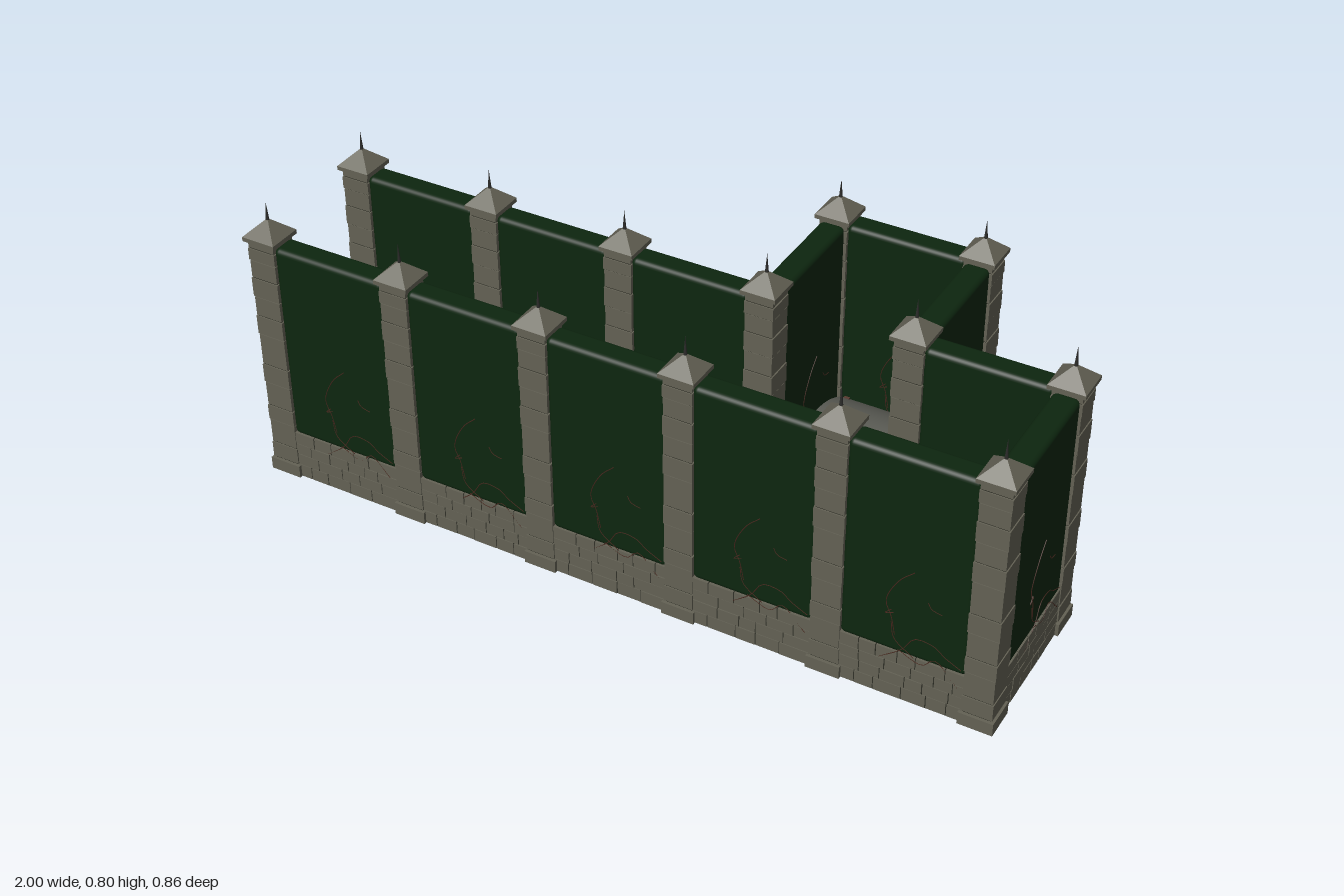
import * as THREE from 'three';
import { mergeGeometries } from 'three/addons/utils/BufferGeometryUtils.js';
import { RoundedBoxGeometry } from 'three/addons/geometries/RoundedBoxGeometry.js';

const paint = (name, color) => Object.assign(new THREE.MeshStandardMaterial({ color }), { name });
const stone = paint('stone', 0x636154);
const mortar = paint('mortar', 0x25261e);
const hedge = paint('hedge green', 0x0d260f);
const twig = paint('twig brown', 0x4a2a20);
const wood = paint('wood', 0x583a30);
const iron = paint('iron', 0x2c2c2a);
const slate = paint('grey canopy', 0x5d5e57);

const S = 0.3815; // distance between pillars

// Small seeded generator for irregular masonry
function seeded(seed) {
  let s = seed;
  return () => (s = (s * 16807) % 2147483647) / 2147483647;
}

// Box given by its minimum and maximum corners
function block(x0, y0, z0, x1, y1, z1) {
  return new THREE.BoxGeometry(x1 - x0, y1 - y0, z1 - z0)
    .translate((x0 + x1) / 2, (y0 + y1) / 2, (z0 + z1) / 2);
}

function part(name, geometries, material) {
  const list = [].concat(geometries);
  const mesh = new THREE.Mesh(list.length > 1 ? mergeGeometries(list) : list[0], material);
  mesh.name = name;
  return mesh;
}

function group(name, ...parts) {
  const g = new THREE.Group();
  g.name = name;
  g.add(...parts);
  return g;
}

// Pillar: plinth, stacked blocks, pyramid cap and spike
function makePillar() {
  const joints = [0.053, 0.1, 0.17, 0.215, 0.285, 0.34, 0.43, 0.485, 0.54, 0.595, 0.645, 0.68, 0.7];
  const blocks = [block(-0.0435, 0.016, -0.0435, 0.0435, 0.05, 0.0435)];
  for (let i = 0; i < joints.length - 1; i++) {
    const h = i % 2 ? 0.037 : 0.0385;
    blocks.push(block(-h, joints[i] + 0.0015, -h, h, joints[i + 1] - 0.0015, h));
  }
  blocks.push(block(-0.046, 0.7, -0.046, 0.046, 0.711, 0.046));
  const pyramid = new THREE.CylinderGeometry(0.006, 0.046 * Math.SQRT2, 0.039, 4, 1)
    .toNonIndexed().rotateY(Math.PI / 4).translate(0, 0.7305, 0);
  pyramid.computeVertexNormals();
  return group('pillar',
    part('pillarBlocks', blocks, stone),
    part('pillarJoints', block(-0.035, 0.016, -0.035, 0.035, 0.7, 0.035), mortar),
    part('pillarCap', pyramid, stone),
    part('pillarSpike', new THREE.ConeGeometry(0.005, 0.055, 6).translate(0, 0.7725, 0), iron));
}

// Thin bare branches lying on the hedge face
function makeTwigs() {
  const paths = [
    [[0.02, 0.395], [-0.015, 0.36], [-0.045, 0.29], [-0.03, 0.25], [-0.02, 0.2]],
    [[0.055, 0.325], [0.065, 0.31], [0.09, 0.302]],
    [[-0.03, 0.27], [-0.045, 0.255], [-0.025, 0.262]],
    [[-0.055, 0.12], [0, 0.165], [0.03, 0.207], [0.08, 0.205], [0.1, 0.187], [0.145, 0.165]],
    [[-0.01, 0.16], [0.05, 0.14], [0.08, 0.165], [0.14, 0.11]],
    [[-0.03, 0.235], [-0.02, 0.19], [0.03, 0.15]],
  ];
  return paths.map(p => new THREE.TubeGeometry(
    new THREE.CatmullRomCurve3(p.map(([x, y], i) => new THREE.Vector3(x, y, 0.034 + (i % 2) * 0.001))),
    16, 0.0011, 4));
}

// Wall bay along x: brick courses below, clipped hedge above
function makeBay(seed) {
  const random = seeded(seed);
  const half = S / 2 - 0.036;
  const courses = [0.016, 0.053, 0.086, 0.118, 0.153];
  const bricks = [];
  for (let c = 0; c < 4; c++) {
    let x = -half;
    while (x < half - 0.001) {
      let end = x + 0.04 + random() * 0.035;
      if (half - end < 0.025) end = half;
      const d = 0.0345 + random() * 0.0015;
      bricks.push(block(x + 0.0012, courses[c] + 0.001, -d, end - 0.0012, courses[c + 1] - 0.001, d));
      x = end;
    }
  }
  const body = new RoundedBoxGeometry(half * 2 + 0.004, 0.547, 0.066, 3, 0.014).translate(0, 0.4215, 0);
  const twigs = makeTwigs();
  twigs.push(...makeTwigs().map(g => g.rotateY(Math.PI)));
  return group('wallBay',
    part('bricks', bricks, stone),
    part('brickJoints', block(-half, 0.015, -0.0325, half, 0.151, 0.0325), mortar),
    part('hedge', body, hedge),
    part('twigs', twigs, twig));
}

// Square of irregular paving made by repeated splitting
function makePaving(seed) {
  const random = seeded(seed);
  const slabs = [];
  const split = (x0, z0, x1, z1) => {
    const w = x1 - x0, d = z1 - z0;
    if (Math.max(w, d) < 0.085 || (w * d < 0.0055 && random() < 0.6)) {
      slabs.push(block(x0 + 0.0015, 0, z0 + 0.0015, x1 - 0.0015, 0.013 + random() * 0.003, z1 - 0.0015));
      return;
    }
    const t = 0.38 + random() * 0.24;
    if (w > d) {
      split(x0, z0, x0 + w * t, z1);
      split(x0 + w * t, z0, x1, z1);
    } else {
      split(x0, z0, x1, z0 + d * t);
      split(x0, z0 + d * t, x1, z1);
    }
  };
  const h = S / 2;
  split(-h, -h, h, h);
  return group('paving',
    part('pavingSlabs', slabs, stone),
    part('pavingJoints', block(-h, 0.002, -h, h, 0.011, h), mortar));
}

// Small stall in the alcove: timber counter, posts, curved canopy and a pot
function makeStall() {
  const timber = [];
  for (let i = 0; i < 4; i++) {
    const z = -0.19 + i * 0.023;
    timber.push(block(0.235, 0.11, z, 0.527, 0.118, z + 0.02));
  }
  for (const x of [0.245, 0.505]) {
    timber.push(block(x, 0.014, -0.18, x + 0.014, 0.11, -0.166));
    timber.push(block(x, 0.014, -0.12, x + 0.014, 0.11, -0.106));
    timber.push(block(x, 0.014, -0.34, x + 0.014, 0.2, -0.326));
    timber.push(block(x, 0.118, -0.2, x + 0.014, 0.24, -0.186));
  }
  const canopy = new THREE.PlaneGeometry(0.29, 0.165, 1, 10).rotateX(-Math.PI / 2);
  const p = canopy.attributes.position;
  for (let i = 0; i < p.count; i++) {
    const t = 0.5 - p.getZ(i) / 0.165;
    p.setY(i, 0.245 - 0.06 * t * t);
  }
  canopy.translate(0.381, 0, -0.27).computeVertexNormals();
  const canopyMesh = part('canopy', canopy, slate);
  canopyMesh.material.side = THREE.DoubleSide;
  const pot = new THREE.CylinderGeometry(0.025, 0.02, 0.04, 10).translate(0.487, 0.138, -0.128);
  const bush = new THREE.IcosahedronGeometry(0.03, 1).translate(0.487, 0.17, -0.128);
  return group('stall', part('timber', timber, wood), canopyMesh, part('pot', pot, iron), part('potBush', bush, hedge));
}

export function createModel() {
  const model = new THREE.Group();
  model.name = 'hedgeCorridor';
  const column = i => (i - 2.5) * S;
  const place = (object, x, z, turn = 0) => {
    object.position.set(x, 0, z);
    object.rotation.y = turn;
    model.add(object);
  };

  // Pillars of the front row, back row and alcove
  for (let i = 0; i < 6; i++) for (const z of [0, S]) place(makePillar(), column(i), z);
  for (const i of [3, 4]) place(makePillar(), column(i), -S);

  // Long walls, leaving the alcove mouth open, and the corridor paving
  for (let i = 0; i < 5; i++) {
    const x = column(i + 0.5);
    place(makeBay(101 + i * 977), x, S);
    if (i !== 3) place(makeBay(7001 + i * 331), x, 0, Math.PI);
    place(makePaving(4001 + i * 5003), x, S / 2);
  }

  // Closed end wall and the three alcove walls
  place(makeBay(555), column(5), S / 2, Math.PI / 2);
  place(makeBay(777), column(4), -S / 2, Math.PI / 2);
  place(makeBay(888), column(3), -S / 2, -Math.PI / 2);
  place(makeBay(999), column(3.5), -S, Math.PI);
  place(makePaving(31337), column(3.5), -S / 2);

  model.add(makeStall());
  return model;
}
